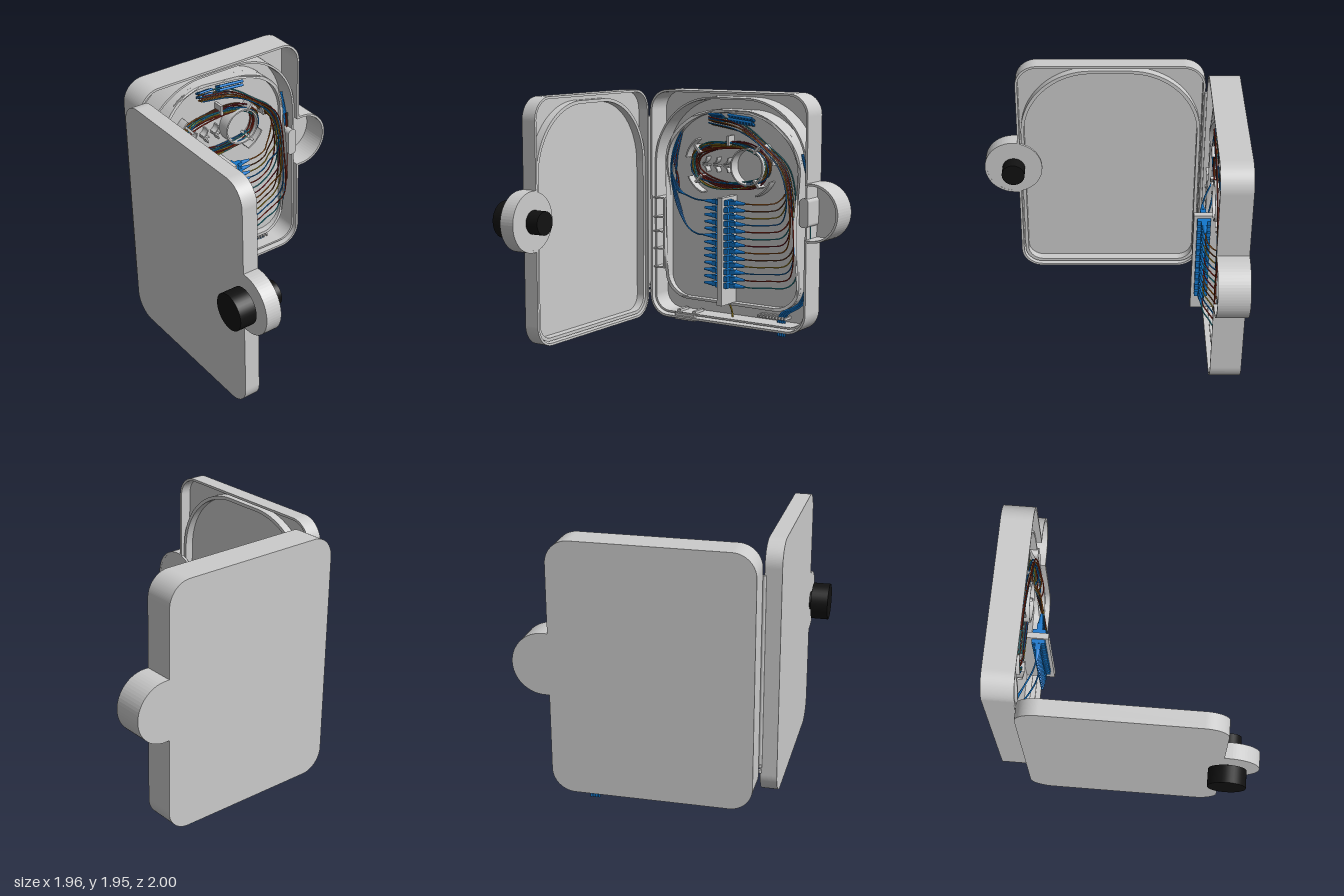
import * as THREE from 'three';

const mat = (color, side = THREE.FrontSide) => new THREE.MeshStandardMaterial({ color, side });
const GREY = mat(0xcccccc), BLACK = mat(0x111111), BLUE = mat(0x1277cc);
const FIBRES = [0x1277cc, 0xb8681c, 0x9a2a1a, 0x6b3a1e, 0x2a9aa8, 0xb89a2a, 0x8a2030].map(c => mat(c));
const V = (x, y, z) => new THREE.Vector3(x, y, z);

function add(parent, name, geo, material = GREY, x = 0, y = 0, z = 0) {
  const m = new THREE.Mesh(geo, material);
  m.name = name;
  m.position.set(x, y, z);
  parent.add(m);
  return m;
}

// Box given by its low and high corners
function box(parent, name, a, b, material) {
  const s = b.map((v, i) => v - a[i]);
  return add(parent, name, new THREE.BoxGeometry(...s), material, ...a.map((v, i) => v + s[i] / 2));
}

const slab = (shape, z0, z1, seg = 16) =>
  new THREE.ExtrudeGeometry(shape, { depth: z1 - z0, bevelEnabled: false, curveSegments: seg }).translate(0, 0, z0);

// Case outline with the round lock lug on its right edge, inset by t
function outline(t) {
  const l = -0.72 + t, r = 0.735 - t, b = 0.07 + t, h = 1.95 - t, c = 0.17 - t, R = 0.23 - t;
  const s = new THREE.Shape();
  s.moveTo(l + c, b);
  s.absarc(r - c, b + c, c, -Math.PI / 2, 0);
  s.lineTo(r, 1.04 - R);
  s.absarc(0.77, 1.04, R, -Math.PI / 2, Math.PI / 2);
  s.lineTo(r, 1.04 + R);
  s.absarc(r - c, h - c, c, 0, Math.PI / 2);
  s.absarc(l + c, h - c, c, Math.PI / 2, Math.PI);
  s.absarc(l + c, b + c, c, Math.PI, Math.PI * 1.5);
  return s;
}

// Tray outline: small bottom corners cb, wide top corners ct
function trayShape(l, b, r, t, cb, ct) {
  const s = new THREE.Shape();
  s.moveTo(l + cb, b);
  s.absarc(r - cb, b + cb, cb, -Math.PI / 2, 0);
  s.absarc(r - ct, t - ct, ct, 0, Math.PI / 2);
  s.absarc(l + ct, t - ct, ct, Math.PI / 2, Math.PI);
  s.absarc(l + cb, b + cb, cb, Math.PI, Math.PI * 1.5);
  return s;
}

function ring(outer, inner) {
  outer.holes.push(inner);
  return outer;
}

// Curved wall on a circle
function arcWall(cx, cy, r, a0, a1, th) {
  const s = new THREE.Shape();
  s.absarc(cx, cy, r, a0, a1, false);
  s.absarc(cx, cy, r - th, a1, a0, true);
  return s;
}

function cable(parent, name, pts, r, material, closed = false, seg = 48) {
  const curve = new THREE.CatmullRomCurve3(pts, closed, 'centripetal');
  return add(parent, name, new THREE.TubeGeometry(curve, seg, r, 5, closed), material);
}

// Cylinder along the local x axis
const rod = (r0, r1, len) => new THREE.CylinderGeometry(r1, r0, len, 10).rotateZ(-Math.PI / 2);

function buildCase() {
  const g = new THREE.Group();
  g.name = 'caseBody';
  add(g, 'backPlate', slab(outline(0), -0.98, -0.96));
  add(g, 'outerWall', slab(ring(outline(0), outline(0.018)), -0.96, -0.75));

  // Inner arch wall beneath the rim
  const arch = ring(trayShape(-0.70, 0.1, 0.715, 1.9, 0.14, 0.55), trayShape(-0.685, 0.115, 0.7, 1.885, 0.13, 0.54));
  add(g, 'archWall', slab(arch, -0.96, -0.79, 24));

  // Fibre tray with a wavy rim
  const floor = trayShape(-0.595, 0.225, 0.635, 1.8, 0.2, 0.48);
  add(g, 'trayFloor', slab(floor, -0.88, -0.86, 24));
  const outer = new THREE.Shape(floor.getSpacedPoints(140));
  const inner = new THREE.Path(trayShape(-0.57, 0.25, 0.61, 1.775, 0.18, 0.46).getSpacedPoints(140));
  const wall = slab(ring(outer, inner), -0.96, -0.8);
  const p = wall.attributes.position;
  for (let i = 0; i < p.count; i++) {
    if (p.getZ(i) < -0.9) continue;
    const a = Math.atan2(p.getY(i) - 1.0, p.getX(i));
    p.setZ(i, -0.8 + 0.03 * Math.cos(a * 5 + 0.6));
  }
  wall.computeVertexNormals();
  add(g, 'trayWall', wall);
  add(g, 'lockGuard', slab(trayShape(0.655, 0.92, 0.73, 1.15, 0.03, 0.035), -0.96, -0.78));

  // Side pockets by the hinge
  box(g, 'pocketWall', [-0.61, 0.47, -0.96], [-0.595, 1.06, -0.77]);
  for (const y of [0.47, 0.625, 0.77, 0.89, 1.05]) box(g, 'pocketDivider', [-0.705, y, -0.96], [-0.6, y + 0.012, -0.77]);

  // Bottom entry: latch block, comb and gland
  box(g, 'latchBlock', [-0.49, 0.055, -0.95], [-0.3, 0.11, -0.77]);
  for (const x of [-0.47, -0.32]) box(g, 'latchTab', [x - 0.015, 0.1, -0.93], [x + 0.015, 0.135, -0.8]);
  for (let i = 0; i < 10; i++) box(g, 'combTooth', [0.24 + i * 0.027, 0.145, -0.96], [0.255 + i * 0.027, 0.165, -0.86]);
  box(g, 'gland', [-0.01, 0.05, -0.9], [0.015, 0.11, -0.86]);

  // Hinge pin and knuckles along the left edge
  add(g, 'hingePin', new THREE.CylinderGeometry(0.014, 0.014, 1.38, 10), GREY, -0.73, 1.04, -0.745);
  for (const y of [0.27, 0.31, 0.34]) add(g, 'hingeKnuckle', new THREE.CylinderGeometry(0.012, 0.012, 0.025, 10), GREY, -0.73, y, -0.745);
  return g;
}

function buildCoilHolder(g) {
  add(g, 'drum', slab(arcWall(0.19, 1.36, 0.15, 0, Math.PI * 2, 0.012), -0.86, -0.76, 40));
  // Curved guides around the coil
  for (const [cx, a] of [[-0.15, 2.2], [-0.15, 3.6], [0.17, -1.2], [0.17, 0.1]])
    add(g, 'coilGuide', slab(arcWall(cx, 1.36, 0.25, a, a + 0.75, 0.012), -0.86, -0.78));
  // Fins inside the coil and retaining clips over it
  for (let i = 0; i < 3; i++) for (const s of [-1, 1]) {
    const x = -0.24 + i * 0.1;
    add(g, 'fin', slab(arcWall(x - 0.02, 1.36 + s * 0.06, 0.06, s > 0 ? -1.3 : 0, s > 0 ? 0 : 1.3, 0.01), -0.86, -0.8));
    box(g, 'finPost', [x, 1.345, -0.86], [x + 0.045, 1.357, -0.8]);
  }
  for (const [x, y, a] of [[0.01, 1.56, 0], [-0.28, 1.48, 0.7], [0.27, 1.5, -0.7], [0.27, 1.23, 0.7], [-0.27, 1.24, -0.7]]) {
    const clip = box(g, 'coilClip', [x - 0.01, y - 0.04, -0.86], [x + 0.01, y + 0.04, -0.77]);
    clip.rotation.z = a;
  }
  // Wound fibre coil
  for (let k = 0; k < 16; k++) {
    const a = 0.31 + 0.055 * ((k * 7 % 16) / 15), b = 0.145 + 0.04 * ((k * 5 % 16) / 15), pts = [];
    for (let i = 0; i < 20; i++) {
      const t = i / 20 * Math.PI * 2, c = Math.cos(t), s = Math.sin(t);
      const x = a * Math.sign(c) * Math.abs(c) ** 0.85, y = b * Math.sign(s) * Math.abs(s) ** 0.85;
      pts.push(V(x + 0.01, 1.36 + y + 0.02 * Math.sin(t * 2 + k), -0.84 + 0.045 * (k % 4) / 3));
    }
    cable(g, 'coilFibre', pts, 0.006, FIBRES[(k * 3 + 2) % 7], true, 60);
  }
}

function buildPatchPanel(g) {
  box(g, 'adapterBar', [0, 0.25, -0.86], [0.045, 1.12, -0.635]);
  const ROWS = 13;
  for (let i = 0; i < ROWS; i++) {
    const y = 1.078 - i * 0.0555, k = i / (ROWS - 1);
    // Adapter bodies with tapered boots on both sides
    box(g, 'adapter', [-0.03, y - 0.021, -0.76], [0.08, y + 0.021, -0.66], BLUE);
    for (const s of [-1, 1]) {
      const e = s < 0 ? -0.03 : 0.08;
      box(g, 'plug', [Math.min(e, e + s * 0.05), y - 0.018, -0.732], [Math.max(e, e + s * 0.05), y + 0.018, -0.688], BLUE);
      const boot = add(g, 'boot', rod(0.021, 0.009, 0.085), BLUE, e + s * 0.09, y, -0.71);
      if (s < 0) boot.rotation.z = Math.PI;
      boot.name = 'boot';
    }
    // Fibre sweeping up into the bundle and over to the splices
    const u = 0.51 + 0.1 * k, w = -0.83 + 0.02 * (i % 4);
    cable(g, 'pigtail', [
      V(0.2, y, -0.71), V(0.29, y, -0.715), V(0.4, y + 0.005, -0.755), V(u - 0.06, y + 0.02, -0.8),
      V(u, y + 0.1, w), V(u + 0.01 * (1 - k), Math.max(y + 0.25, 0.95 + 0.2 * (1 - k)), w),
      V(0.46 + 0.08 * k, 1.36, w), V(0.29 + 0.05 * k, 1.54, w), V(0.1, 1.63 + 0.07 * k, w), V(-0.17, 1.68 + 0.07 * k, w),
    ], 0.0055, FIBRES[(i * 2 + 1) % 7], false, 64);
  }
  // Splice sleeves above the coil
  for (let i = 0; i < 6; i++) {
    const y = 1.7 + i * 0.011, z = -0.83 + 0.02 * (i % 3);
    const sleeve = add(g, 'spliceSleeve', rod(0.011, 0.011, 0.22), BLUE, 0.11, y, z);
    sleeve.rotation.z = -0.1;
    add(g, 'spliceEnd', rod(0.009, 0.009, 0.12), BLUE, -0.12, y + 0.01, z);
  }
}

function buildCables(g) {
  // Patch leads on the left
  for (const [y0, n] of [[1.078, 3], [0.8, 3]]) for (let i = 0; i < n; i++) {
    const d = i * 0.014, low = y0 < 1;
    cable(g, 'patchLead', [
      V(-0.16, y0, -0.71), V(-0.25, y0, -0.73), V(-0.38, y0 + (low ? 0.05 : 0.02), -0.78),
      V(-0.5 + d, low ? 1.0 : 1.13, -0.82), V(-0.57 + d, 1.28, -0.83 + d), V(-0.545 + d, 1.45, -0.83 + d), V(-0.46, 1.62, -0.82),
    ], 0.0065, BLUE);
  }
  for (let i = 0; i < 5; i++)
    cable(g, 'slackFibre', [V(-0.46, 1.6, -0.83), V(-0.5 - i * 0.008, 1.4, -0.82), V(-0.52 + i * 0.004, 1.22, -0.84), V(-0.5, 1.1, -0.85)], 0.006, FIBRES[i % 3 === 1 ? 2 : 0]);
  cable(g, 'sleeveTail', [V(-0.46, 1.6, -0.82), V(-0.4, 1.7, -0.82), V(-0.31, 1.76, -0.83), V(-0.18, 1.78, -0.83)], 0.005, GREY);
  // Feed cables entering from below and rising beside the tray
  for (let i = 0; i < 4; i++) {
    const d = i * 0.019;
    cable(g, 'feedCable', [
      V(0.415 + d, 0.005, -0.9), V(0.415 + d, 0.12, -0.9), V(0.44 + d, 0.19, -0.9), V(0.6 + d * 0.6, 0.29, -0.9),
      V(0.66 + d * 0.5, 0.45, -0.9), V(0.685 + d * 0.3, 0.8, -0.89), V(0.685 + d * 0.3, 1.2, -0.88), V(0.625 + d * 0.4, 1.48, -0.87),
    ], 0.009, BLUE);
  }
  for (let i = 0; i < 3; i++)
    cable(g, 'feedFibre', [V(0.69 + i * 0.012, 0.62, -0.86), V(0.695 + i * 0.01, 0.95, -0.85), V(0.68 + i * 0.01, 1.28, -0.85)], 0.006, FIBRES[2 + i]);
  cable(g, 'earthLead', [V(0.003, 0.07, -0.88), V(0.003, 0.16, -0.87), V(-0.008, 0.24, -0.84)], 0.008, FIBRES[5]);
}

function buildDoor() {
  const g = new THREE.Group();
  g.name = 'door';
  add(g, 'doorPanel', slab(outline(0), 0.815, 0.85));
  add(g, 'doorRim', slab(ring(outline(0), outline(0.018)), 0.73, 0.815));
  const lip = ring(trayShape(-0.695, 0.1, 0.705, 1.9, 0.14, 0.55), trayShape(-0.67, 0.125, 0.68, 1.875, 0.12, 0.53));
  add(g, 'sealLip', slab(lip, 0.75, 0.815, 24));
  // Closed lug with the lock knob passing through
  const disc = (r, z0, z1) => new THREE.CylinderGeometry(r, r, z1 - z0, 40).rotateX(Math.PI / 2).translate(0.77, 1.04, (z0 + z1) / 2);
  add(g, 'lugCover', disc(0.225, 0.731, 0.75));
  add(g, 'knobShaft', disc(0.07, 0.72, 0.88), BLACK);
  add(g, 'outerKnob', disc(0.14, 0.87, 1.0), BLACK);
  add(g, 'innerKnob', disc(0.09, 0.62, 0.725), BLACK);
  g.position.x = -0.02;
  return g;
}

export function createModel() {
  const model = new THREE.Group();
  model.name = 'openFibreBox';
  // The case is laid out facing +z, then turned to face +x
  const body = buildCase();
  for (const [name, build] of [['coilHolder', buildCoilHolder], ['patchPanel', buildPatchPanel], ['cables', buildCables]]) {
    const part = new THREE.Group();
    part.name = name;
    build(part);
    body.add(part);
  }
  body.rotation.y = Math.PI / 2;
  model.add(body, buildDoor());
  return model;
}
